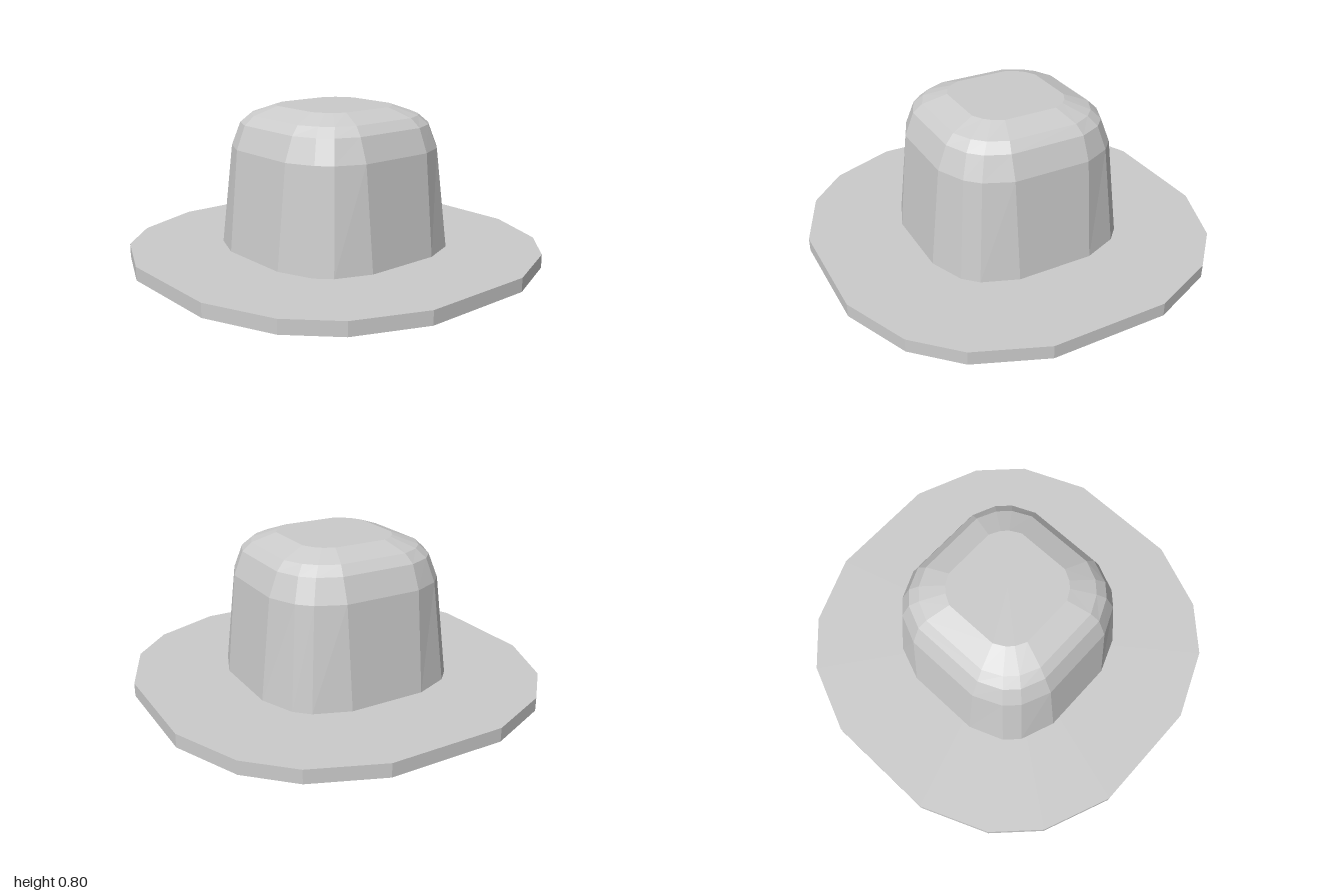
import * as THREE from 'three';

// 16-sided rounded square: (a, b) and (c, d) are the first two corners in each quadrant
function ring([y, a, b, c, d]) {
  const points = [];
  let quarter = [[a, b], [c, d], [d, c], [b, a]];
  for (let q = 0; q < 4; q++) {
    for (const [x, z] of quarter) points.push([x, y, z]);
    quarter = quarter.map(([x, z]) => [-z, x]);
  }
  return points;
}

// Joins stacked rings into a faceted solid with a flat top and optional flat bottom
function loft(name, levels, closeBottom) {
  const rings = levels.map(ring);
  const pos = [];
  const tri = (...corners) => corners.forEach((p) => pos.push(...p));
  const last = rings.length - 1;
  for (let i = 0; i < 16; i++) {
    const j = (i + 1) % 16;
    for (let k = 0; k < last; k++) {
      const lo = rings[k], up = rings[k + 1];
      tri(lo[i], up[i], lo[j]);
      tri(lo[j], up[i], up[j]);
    }
    tri([0, levels[last][0], 0], rings[last][j], rings[last][i]);
    if (closeBottom) tri([0, levels[0][0], 0], rings[0][i], rings[0][j]);
  }
  const geometry = new THREE.BufferGeometry();
  geometry.setAttribute('position', new THREE.Float32BufferAttribute(pos, 3));
  geometry.computeVertexNormals();
  const mesh = new THREE.Mesh(geometry, new THREE.MeshStandardMaterial({ color: 0xcccccc, flatShading: true }));
  mesh.name = name;
  return mesh;
}

export function createModel() {
  const hat = new THREE.Group();
  hat.name = 'hat';

  // Flat wide brim
  hat.add(loft('brim', [
    [0, 1, 0.3, 0.855, 0.65],
    [0.07, 1, 0.3, 0.855, 0.65],
  ], true));

  // Tapered crown with a rounded shoulder and flat top
  hat.add(loft('crown', [
    [0.07, 0.52, 0.2, 0.45, 0.38],
    [0.59, 0.467, 0.2, 0.405, 0.34],
    [0.71, 0.42, 0.195, 0.37, 0.31],
    [0.755, 0.375, 0.18, 0.33, 0.275],
    [0.8, 0.255, 0.14, 0.225, 0.195],
  ], false));

  return hat;
}
